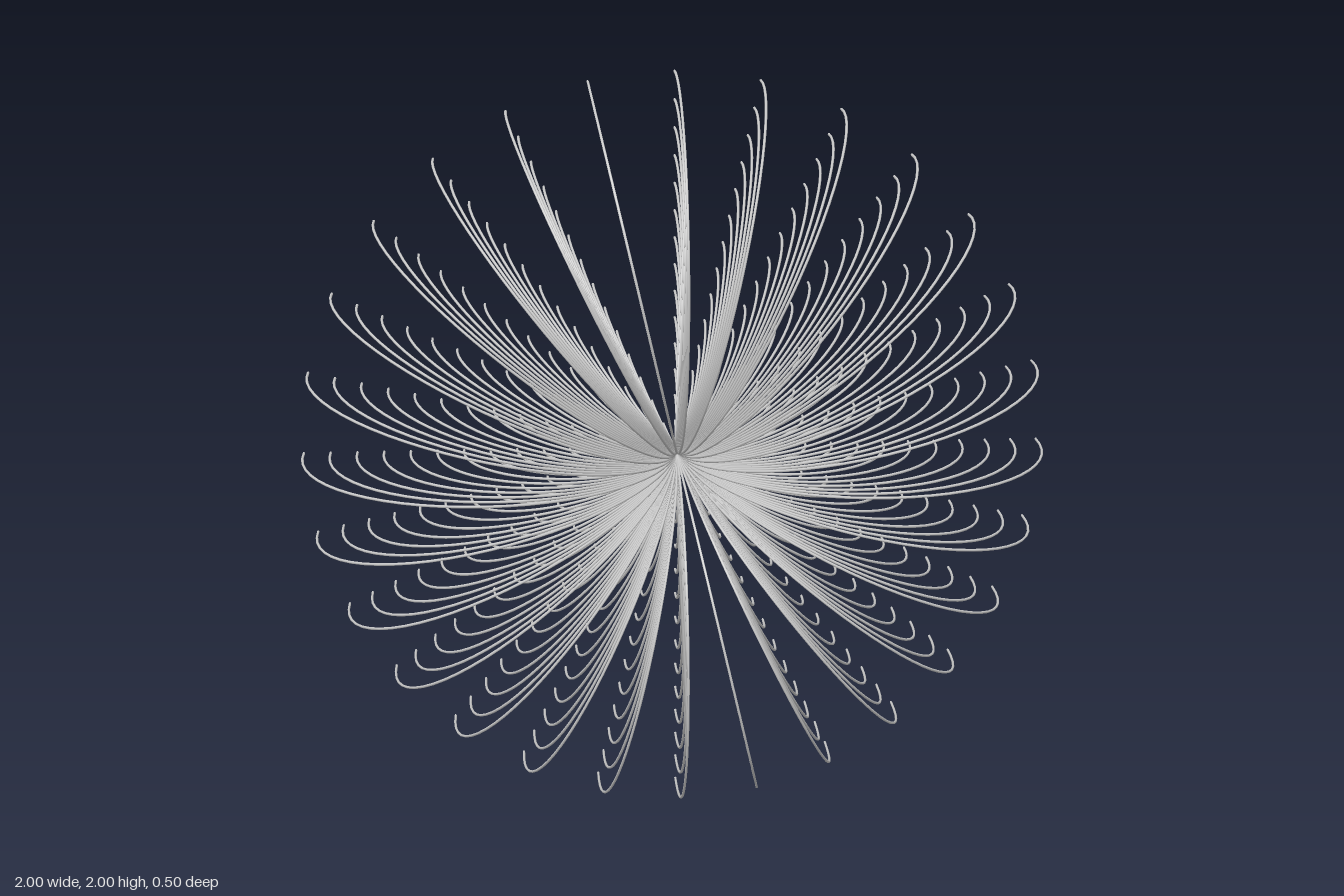
import * as THREE from 'three';

const RAYS = 28;                        // fans of wire around the front axis
const ARCS = 14;                        // nested half circles in each fan
const WIRE = 0.0035;                    // wire radius
const OUTER = (1 - WIRE) / 2;           // radius of the largest half circle
const BACK = -(OUTER + WIRE) / 2;       // plane where every wire starts and ends

export function createModel() {
  const model = new THREE.Group();
  model.name = 'wireBurst';
  const material = new THREE.MeshStandardMaterial({ color: 0xcccccc, side: THREE.DoubleSide });

  // Half circles all touching the centre, bulging forward
  const arcs = [];
  for (let k = 1; k <= ARCS; k++) {
    const radius = OUTER * k / ARCS;
    const arc = new THREE.TorusGeometry(radius, WIRE, 6, 30, Math.PI);
    arc.rotateX(Math.PI / 2);
    arc.translate(radius, 0, BACK);
    arcs.push(arc);
  }

  // Repeat the fan around the front axis
  for (let i = 0; i < RAYS; i++) {
    const fan = new THREE.Group();
    fan.name = 'wireFan' + (i + 1);
    arcs.forEach((arc, k) => {
      const wire = new THREE.Mesh(arc, material);
      wire.name = 'wireArc' + (k + 1);
      fan.add(wire);
    });
    fan.position.y = 1;
    fan.rotation.z = i * 2 * Math.PI / RAYS;
    model.add(fan);
  }
  return model;
}
